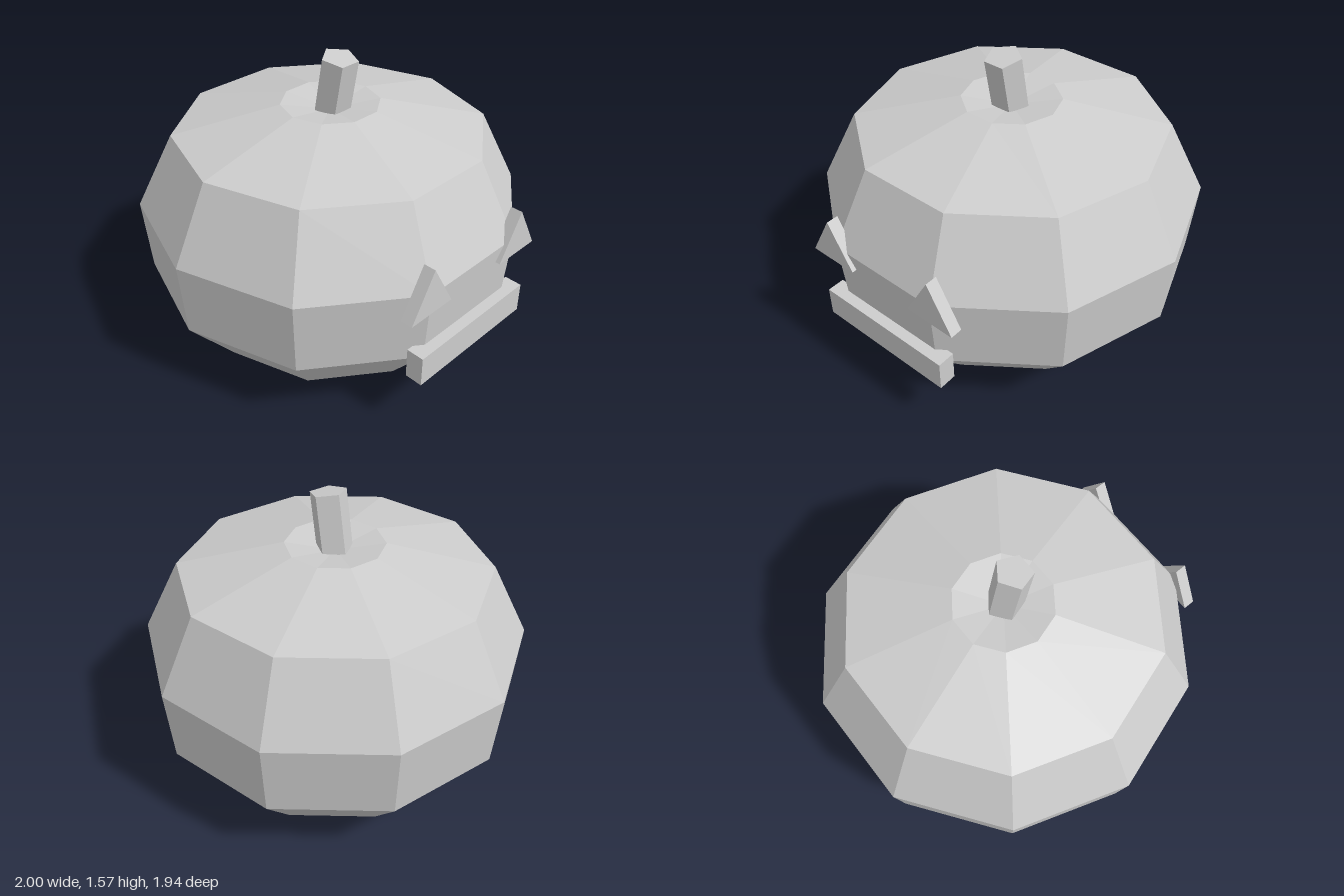
import * as THREE from 'three';

export function createModel() {
  const model = new THREE.Group();
  const grey = new THREE.MeshStandardMaterial({ color: 0xcccccc, flatShading: true });
  grey.name = 'plain grey';

  const add = (name, geometry, x, y, z) => {
    const mesh = new THREE.Mesh(geometry, grey);
    mesh.name = name;
    mesh.position.set(x, y, z);
    model.add(mesh);
    return mesh;
  };

  // Ten-sided pumpkin body with a shallow dip at the top
  const profile = [
    [0, 0], [0.71, 0.07], [0.97, 0.39], [1, 0.78],
    [0.805, 1.165], [0.255, 1.295], [0, 1.255],
  ].map(([r, y]) => new THREE.Vector2(r, y));
  add('body', new THREE.LatheGeometry(profile, 10, Math.PI / 2), 0, 0, -0.02);

  // Five-sided stem leaning forward, its foot sunk into the dip
  const stemGeometry = new THREE.CylinderGeometry(0.095, 0.095, 0.36, 5, 1, false, Math.PI);
  stemGeometry.translate(0, -0.18, 0);
  add('stem', stemGeometry, 0, 1.548, 0.043).rotation.x = 0.19;

  // Triangular eyes
  const eyeGeometry = new THREE.CylinderGeometry(0.159, 0.159, 0.063, 3, 1, false, Math.PI);
  eyeGeometry.rotateX(Math.PI / 2);
  for (const [name, side] of [['leftEye', 1], ['rightEye', -1]]) {
    add(name, eyeGeometry, side * 0.323, 0.779, 0.919);
  }

  // Bar mouth
  add('mouth', new THREE.BoxGeometry(0.77, 0.16, 0.092), 0, 0.392, 0.92);

  return model;
}
